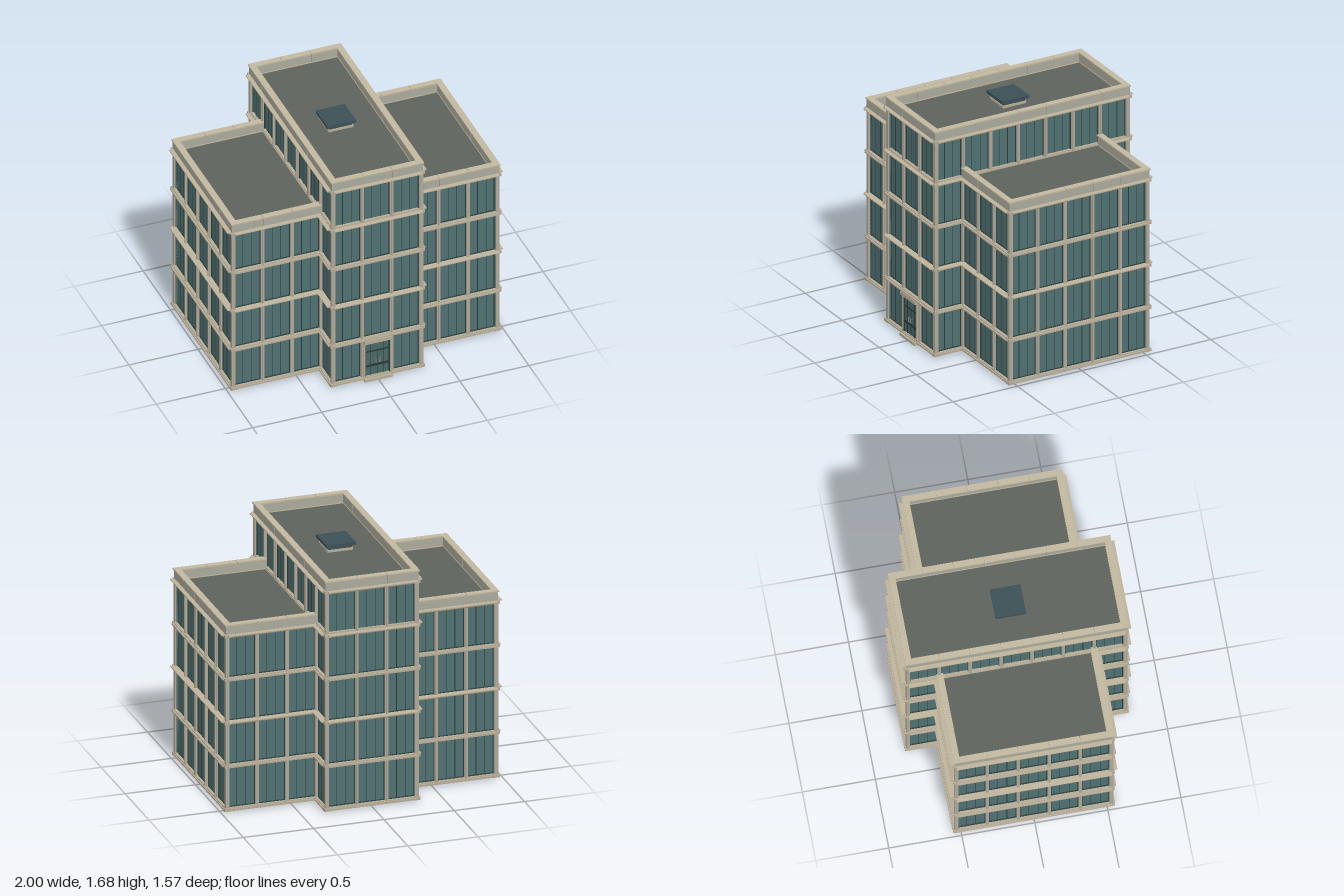
import * as THREE from 'three';
import { mergeGeometries } from 'three/addons/utils/BufferGeometryUtils.js';

const BAY = 0.2125, FLOOR = 0.315, BASE = 0.02;
const TX = BAY * 1.5, TZ = BAY * 3.5;   // tower half sizes
const WX = BAY * 4.5, WZ = BAY * 2.5;   // wing half sizes

const COLORS = {
  windowGlass: 0x507070, windowFrames: 0x2c4242, pillars: 0xafa898, floorBands: 0xb5ab96,
  cornices: 0xbfb39b, parapets: 0xa9a99c, copings: 0xc2b8a0, roofs: 0x5e625d,
  skylightBase: 0xb8ad97, skylightGlass: 0x3b5056, doorGlass: 0x4a6868, doorFrame: 0x263838,
  doorSurround: 0xb8ad97, doorHandles: 0x8a8a84,
};

export function createModel() {
  const parts = {};
  const put = (part, geo, m) => {
    const g = geo.index ? geo.toNonIndexed() : geo;
    if (m) g.applyMatrix4(m);
    (parts[part] ??= []).push(g);
  };
  // Box from its min and max corners
  const box = (part, x0, x1, y0, y1, z0, z1, m) =>
    put(part, new THREE.BoxGeometry(x1 - x0, y1 - y0, z1 - z0)
      .translate((x0 + x1) / 2, (y0 + y1) / 2, (z0 + z1) / 2), m);

  // A wall frame: local x runs along the wall, local z points outward
  const frame = ([x, z, quarter]) =>
    new THREE.Matrix4().makeRotationY(quarter * Math.PI / 2).setPosition(x, 0, z);

  // One glazed bay with its frame and mullions
  function bay(cx, y, m) {
    const w = BAY / 2 - 0.011, b = y + 0.012, t = y + FLOOR - 0.012, f = 0.005;
    box('windowGlass', cx - BAY / 2, cx + BAY / 2, y, y + FLOOR, -0.016, -0.012, m);
    for (const s of [-1, 1]) {
      const e = cx + s * (w - f / 2);
      box('windowFrames', e - f / 2, e + f / 2, b, t, -0.02, -0.004, m);
      const c = cx + s * w / 3;
      box('windowFrames', c - 0.0015, c + 0.0015, b, t, -0.018, -0.009, m);
    }
    box('windowFrames', cx - w, cx + w, b, b + f, -0.02, -0.004, m);
    box('windowFrames', cx - w, cx + w, t - f, t, -0.02, -0.004, m);
  }

  // One storey of a wall: bays with pillars between them
  function storey(wall, level) {
    const m = frame(wall), n = wall[3], y = BASE + level * FLOOR;
    for (let i = 0; i < n; i++) bay((i - (n - 1) / 2) * BAY, y, m);
    for (let i = 1; i < n; i++) {
      const x = (i - n / 2) * BAY;
      box('pillars', x - 0.012, x + 0.012, y, y + FLOOR, -0.02, 0.008, m);
      box('pillars', x - 0.006, x + 0.006, y, y + FLOOR, 0.008, 0.014, m);
    }
  }

  // Stepped band at a floor line
  function band(wall, y, out) {
    const m = frame(wall), h = wall[3] * BAY / 2;
    box('floorBands', -h, h, y - 0.012, y + 0.012, -0.025, out * 0.6, m);
    box('floorBands', -h, h, y - 0.004, y + 0.006, 0, out, m);
  }

  // Wide cornice, tapering downward
  function cornice(wall, y) {
    const len = wall[3] * BAY;
    const s = new THREE.Shape([[-0.025, -0.014], [0.014, -0.014], [0.02, -0.004], [0.042, 0.004],
      [0.042, 0.011], [-0.025, 0.011]].map(p => new THREE.Vector2(...p)));
    const g = new THREE.ExtrudeGeometry(s, { depth: len, bevelEnabled: false });
    g.translate(0, 0, -len / 2).rotateY(-Math.PI / 2).translate(0, y, 0);
    put('cornices', g, frame(wall));
  }

  // Parapet panels with a coping, jointed at every bay
  function parapet(wall, y) {
    const m = frame(wall), n = wall[3], j = 0.0012;
    for (let i = 0; i < n; i++) {
      const a = (i - n / 2) * BAY + j, b = a + BAY - 2 * j;
      box('parapets', a, b, y, y + 0.072, -0.022, 0.012, m);
      box('copings', a, b, y + 0.072, y + 0.082, -0.027, 0.018, m);
    }
    box('parapets', -n * BAY / 2, n * BAY / 2, y, y + 0.07, -0.02, 0.01, m);
  }

  // Pillar with band blocks at a corner
  function corner(x, z, y0, levels) {
    const r = 0.013, top = y0 + levels * FLOOR;
    box('pillars', x - r, x + r, y0, top, z - r, z + r);
    for (let i = 0; i <= levels; i++) {
      const y = y0 + i * FLOOR, q = 0.022;
      box('floorBands', x - q, x + q, y - 0.011, y + 0.01, z - q, z + q);
    }
  }
  function parapetCorner(x, z, y) {
    box('parapets', x - 0.012, x + 0.012, y, y + 0.072, z - 0.012, z + 0.012);
    box('copings', x - 0.018, x + 0.018, y + 0.072, y + 0.082, z - 0.018, z + 0.018);
  }

  // Walls as [x, z, quarter turns, bays]
  const wingX = (TX + WX) / 2, returnZ = (TZ + WZ) / 2;
  const towerEnds = [[0, TZ, 0, 3], [0, -TZ, 2, 3]];
  const wingWalls = [[WX, 0, 1, 5], [-WX, 0, 3, 5]];
  const returns = [];
  for (const s of [-1, 1]) {
    wingWalls.push([s * wingX, WZ, 0, 3], [s * wingX, -WZ, 2, 3]);
    for (const t of [-1, 1]) returns.push([s * TX, t * returnZ, s > 0 ? 1 : 3, 1]);
  }
  const outline = [...towerEnds, ...wingWalls, ...returns];
  const towerTop = [...towerEnds, [TX, 0, 1, 7], [-TX, 0, 3, 7]];
  const wingY = BASE + 4 * FLOOR, towerY = BASE + 5 * FLOOR;

  // Four lower storeys around the cross-shaped plan
  for (const w of outline) {
    for (let level = 0; level < 4; level++) storey(w, level);
    band(w, BASE, 0.025);
    band(w, BASE + FLOOR, 0.034);
    cornice(w, BASE + 2 * FLOOR);
    band(w, BASE + 3 * FLOOR, 0.034);
    cornice(w, wingY);
  }
  // Fifth storey on the tower
  for (const w of towerTop) {
    storey(w, 4);
    band(w, wingY + 0.008, 0.014);
    cornice(w, towerY);
    parapet(w, towerY);
  }
  for (const w of wingWalls) parapet(w, wingY);
  for (const s of [-1, 1]) for (const t of [-1, 1]) {
    corner(s * TX, t * TZ, BASE, 5);
    corner(s * WX, t * WZ, BASE, 4);
    corner(s * TX, t * WZ, BASE, 4);
    parapetCorner(s * TX, t * TZ, towerY);
    parapetCorner(s * WX, t * WZ, wingY);
  }

  // Roof slabs
  box('roofs', -TX + 0.015, TX - 0.015, towerY - 0.01, towerY + 0.005, -TZ + 0.015, TZ - 0.015);
  for (const s of [-1, 1]) {
    const a = s * (TX - 0.01), b = s * (WX - 0.015);
    box('roofs', Math.min(a, b), Math.max(a, b), wingY - 0.01, wingY + 0.005, -WZ + 0.015, WZ - 0.015);
  }

  // Skylight
  box('skylightBase', -0.09, 0.09, towerY, towerY + 0.022, -0.09, 0.09);
  box('skylightGlass', -0.084, 0.084, towerY + 0.022, towerY + 0.045, -0.084, 0.084);
  box('skylightGlass', -0.105, 0.105, towerY + 0.045, towerY + 0.065, -0.105, 0.105);

  // Entrance: surround, step, glazed doors, bars and handles
  const D = TZ;
  box('doorSurround', -0.1, 0.1, 0, 0.02, D - 0.02, D + 0.04);
  box('doorSurround', -0.1, 0.1, 0.303, 0.328, D - 0.02, D + 0.036);
  box('doorGlass', -0.09, 0.09, 0.02, 0.303, D - 0.002, D + 0.006);
  for (const s of [-1, 1]) {
    box('doorSurround', s * 0.095 - 0.005, s * 0.095 + 0.005, 0.02, 0.303, D - 0.02, D + 0.02);
    box('doorFrame', s * 0.087 - 0.003, s * 0.087 + 0.003, 0.02, 0.303, D, D + 0.014);
    box('doorFrame', s * 0.047 - 0.002, s * 0.047 + 0.002, 0.02, 0.303, D, D + 0.012);
    box('doorHandles', s * 0.014 - 0.002, s * 0.014 + 0.002, 0.13, 0.165, D + 0.018, D + 0.024);
    for (const y of [0.134, 0.161])
      box('doorHandles', s * 0.014 - 0.001, s * 0.014 + 0.001, y - 0.001, y + 0.001, D, D + 0.02);
  }
  box('doorFrame', -0.0015, 0.0015, 0.02, 0.225, D, D + 0.012);
  for (const [y, h] of [[0.022, 0.004], [0.11, 0.007], [0.225, 0.004], [0.3, 0.004]])
    box('doorFrame', -0.09, 0.09, y - h, y + h, D, D + 0.013);

  const group = new THREE.Group();
  group.name = 'officeBuilding';
  for (const [name, list] of Object.entries(parts)) {
    const mesh = new THREE.Mesh(mergeGeometries(list),
      new THREE.MeshStandardMaterial({ color: COLORS[name] }));
    mesh.name = name;
    group.add(mesh);
  }
  return group;
}
